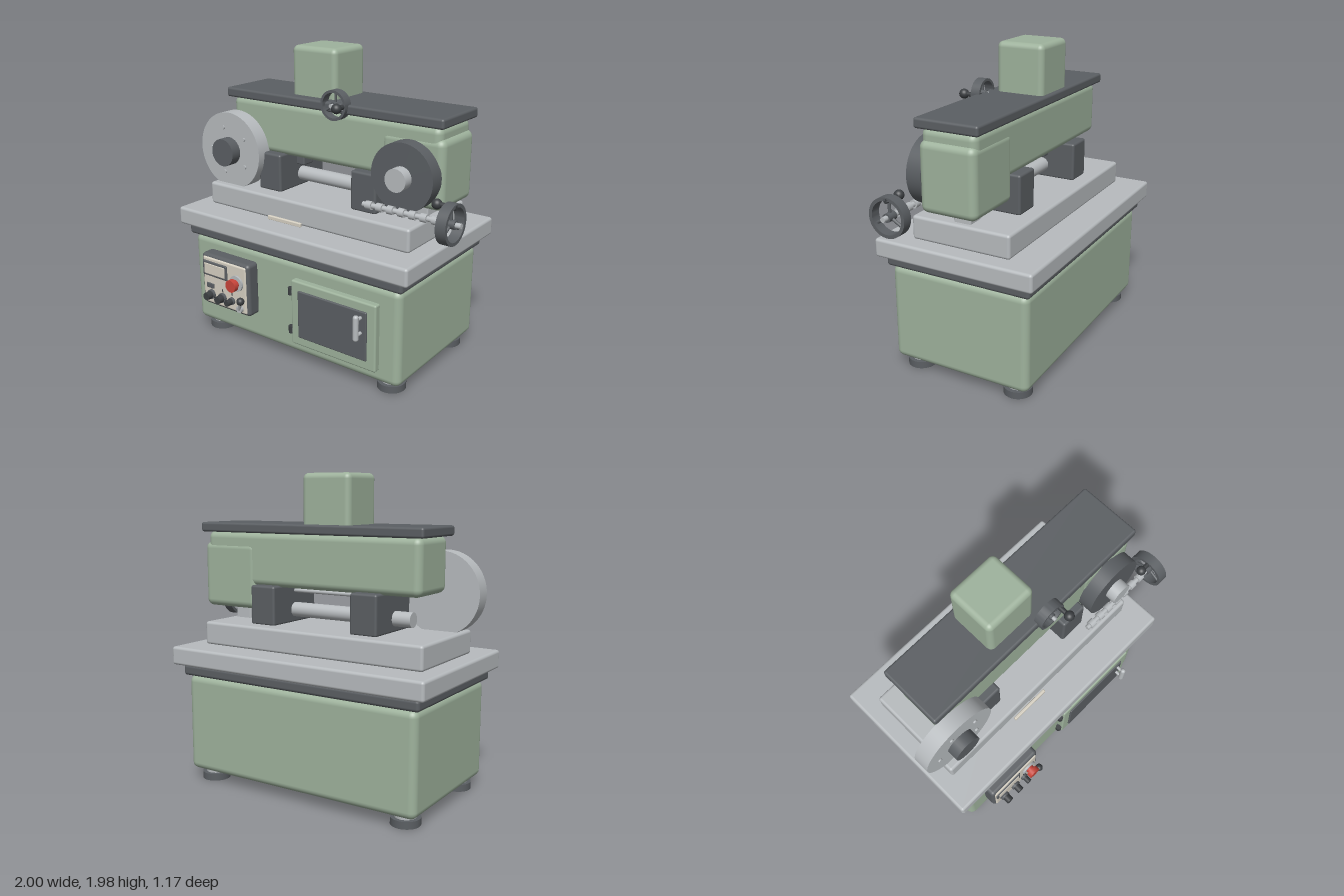
import * as THREE from 'three';
import { RoundedBoxGeometry } from 'three/addons/geometries/RoundedBoxGeometry.js';
import { toCreasedNormals } from 'three/addons/utils/BufferGeometryUtils.js';

const paint = (color) => new THREE.MeshStandardMaterial({ color });
const green = paint(0x9eb29c), dark = paint(0x5b5f63), black = paint(0x3c3f42);
const steel = paint(0xb7bbbe), beige = paint(0xd6d0c2), red = paint(0xc8453a);

export function createModel() {
  const model = new THREE.Group();

  const add = (name, geometry, material, x, y, z, parent = model) => {
    const mesh = new THREE.Mesh(geometry, material);
    mesh.name = name;
    mesh.position.set(x, y, z);
    parent.add(mesh);
    return mesh;
  };
  // Rounded box given by its extents on each axis
  const box = (name, material, [x0, x1], [y0, y1], [z0, z1], r = 0.015) => {
    const w = x1 - x0, h = y1 - y0, d = z1 - z0;
    const geometry = new RoundedBoxGeometry(w, h, d, 4, Math.min(r, w * 0.45, h * 0.45, d * 0.45));
    return add(name, geometry, material, (x0 + x1) / 2, (y0 + y1) / 2, (z0 + z1) / 2);
  };
  // Cylinder between two values along one axis; a and b are the other two coordinates in xyz order
  const rod = (name, material, axis, r, from, to, a, b, parent = model) => {
    const geometry = new THREE.CylinderGeometry(r, r, to - from, r > 0.15 ? 64 : 32);
    if (axis === 'x') geometry.rotateZ(-Math.PI / 2);
    if (axis === 'z') geometry.rotateX(Math.PI / 2);
    const m = (from + to) / 2;
    const p = { x: [m, a, b], y: [a, m, b], z: [a, b, m] }[axis];
    return add(name, geometry, material, ...p, parent);
  };
  const ball = (name, material, r, x, y, z, parent = model) =>
    add(name, new THREE.SphereGeometry(r, 24, 16), material, x, y, z, parent);

  // Spoked wheel about local z with a crank knob in front of it
  const handwheel = (name, radius, width, knobRadius, knobAngle, knobZ) => {
    const wheel = new THREE.Group();
    wheel.name = name;
    const ring = new THREE.Shape().absarc(0, 0, radius, 0, Math.PI * 2);
    ring.holes.push(new THREE.Path().absarc(0, 0, radius * 0.83, 0, Math.PI * 2, true));
    const rim = new THREE.ExtrudeGeometry(ring, { depth: width, bevelEnabled: false, curveSegments: 32 });
    add('wheelRim', toCreasedNormals(rim, 0.6), dark, 0, 0, -width / 2, wheel);
    rod('wheelHub', dark, 'z', radius * 0.22, -width / 2, width / 2, 0, 0, wheel);
    for (let i = 0; i < 3; i++) {
      const a = Math.PI / 2 + (i * Math.PI * 2) / 3, m = radius * 0.5;
      const spoke = new THREE.CylinderGeometry(radius * 0.08, radius * 0.08, radius * 0.8, 12);
      add('wheelSpoke', spoke, dark, Math.cos(a) * m, Math.sin(a) * m, 0, wheel).rotation.z = a - Math.PI / 2;
    }
    const kx = Math.cos(knobAngle) * knobRadius, ky = Math.sin(knobAngle) * knobRadius;
    rod('crankStem', black, 'z', 0.015, -width / 2, knobZ, kx, ky, wheel);
    ball('crankKnob', black, 0.031, kx, ky, knobZ, wheel);
    model.add(wheel);
    return wheel;
  };

  // Levelling feet
  for (const x of [-0.81, 0.605]) for (const z of [0.295, -0.4]) {
    rod('footPad', dark, 'y', 0.09, 0, 0.045, x, z);
    rod('footStem', steel, 'y', 0.065, 0.045, 0.1, x, z);
  }

  // Cabinet, table and bed
  box('cabinet', green, [-0.925, 0.725], [0.07, 0.7], [-0.52, 0.415], 0.045);
  box('cabinetTrim', dark, [-0.95, 0.745], [0.7, 0.77], [-0.54, 0.435], 0.02);
  box('table', steel, [-1, 0.8], [0.77, 0.888], [-0.585, 0.475], 0.018);
  box('bed', steel, [-0.89, 0.687], [0.885, 1.035], [-0.385, 0.275], 0.018);
  box('scaleBar', beige, [-0.36, -0.09], [0.885, 0.913], [0.285, 0.305], 0.006);

  // Bearing blocks and rollers
  for (const x of [-0.447, 0.292])
    box('bearingBlock', dark, [x - 0.092, x + 0.092], [1.03, 1.282], [-0.287, 0.172], 0.015);
  rod('roller', steel, 'x', 0.047, -0.66, 0.48, 1.115, -0.055);
  rod('guideRod', steel, 'x', 0.014, -0.32, 0.25, 1.24, -0.055);
  box('guideRodBracket', dark, [-0.37, -0.295], [1.185, 1.29], [-0.1, 0.0], 0.01);
  box('headPedestal', steel, [0.53, 0.65], [1.02, 1.14], [-0.11, 0.005], 0.01);

  // Head, cover and motor housing
  box('head', green, [-0.79, 0.785], [1.27, 1.615], [-0.235, 0.125], 0.045);
  box('headEnd', green, [0.385, 0.81], [1.118, 1.545], [-0.24, 0.13], 0.045);
  box('headCover', dark, [-0.82, 0.812], [1.61, 1.672], [-0.265, 0.15], 0.015);
  box('motorHousing', green, [-0.32, 0.02], [1.62, 1.98], [-0.238, 0.078], 0.035);

  // Flywheel with bolts
  rod('flywheel', steel, 'z', 0.257, 0.12, 0.225, -0.745, 1.265);
  rod('flywheelHub', dark, 'z', 0.092, 0.2, 0.297, -0.745, 1.265);
  for (let i = 0; i < 5; i++) {
    const a = Math.PI / 5 + (i * Math.PI * 2) / 5;
    rod('flywheelBolt', steel, 'z', 0.013, 0.21, 0.235, -0.745 + 0.16 * Math.cos(a), 1.265 + 0.16 * Math.sin(a));
  }
  // Drive pulley
  rod('pulley', dark, 'z', 0.208, 0.12, 0.22, 0.59, 1.315);
  rod('pulleyHub', steel, 'z', 0.07, 0.2, 0.287, 0.59, 1.315);

  // Feed screw and its handwheel
  rod('feedScrew', steel, 'x', 0.016, 0.345, 1, 1.117, 0.243);
  for (let i = 0; i < 7; i++)
    rod('screwCollar', steel, 'x', 0.026, 0.37 + i * 0.075, 0.41 + i * 0.075, 1.117, 0.243);
  const feedWheel = handwheel('feedHandwheel', 0.122, 0.065, 0.1, Math.PI / 2, 0.092);
  feedWheel.position.set(0.933, 1.117, 0.243);
  feedWheel.rotation.y = -Math.PI / 2;

  // Upper handwheel on the cover edge
  const topWheel = handwheel('heightHandwheel', 0.093, 0.06, 0.072, 0, 0.09);
  topWheel.position.set(0.072, 1.662, 0.147);
  rod('heightHandwheelPin', steel, 'z', 0.012, 0.1, 0.2, 0.072, 1.662);

  // Control panel
  box('controlBox', dark, [-0.78, -0.362], [0.257, 0.622], [0.4, 0.505], 0.025);
  box('controlFace', beige, [-0.762, -0.382], [0.275, 0.604], [0.48, 0.513], 0.012);
  box('displayFrame', dark, [-0.756, -0.54], [0.475, 0.58], [0.5, 0.522], 0.008);
  box('displayScreen', beige, [-0.738, -0.556], [0.49, 0.565], [0.51, 0.526], 0.004);
  box('labelPlate', dark, [-0.73, -0.665], [0.388, 0.422], [0.505, 0.52], 0.004);
  rod('stopButtonCollar', steel, 'z', 0.054, 0.505, 0.525, -0.457, 0.483);
  rod('stopButtonStem', red, 'z', 0.028, 0.52, 0.555, -0.457, 0.483);
  rod('stopButton', red, 'z', 0.042, 0.545, 0.577, -0.457, 0.483);
  for (const [x, r] of [[-0.688, 0.026], [-0.588, 0.026], [-0.504, 0.02]]) {
    rod('knobBase', dark, 'z', r * 1.25, 0.505, 0.53, x, 0.345);
    rod('knob', black, 'z', r, 0.525, 0.572, x, 0.345);
    box('knobMark', black, [x - 0.003, x + 0.003], [0.382, 0.405], [0.508, 0.517], 0.001);
  }

  // Toggle lever on the panel
  rod('leverBase', steel, 'z', 0.024, 0.505, 0.535, -0.43, 0.31);
  const leverPath = new THREE.LineCurve3(new THREE.Vector3(-0.43, 0.31, 0.53), new THREE.Vector3(-0.393, 0.386, 0.555));
  add('lever', new THREE.TubeGeometry(leverPath, 1, 0.011, 12), steel, 0, 0, 0);
  ball('leverKnob', black, 0.026, -0.393, 0.386, 0.555);

  // Cabinet door
  box('door', green, [-0.05, 0.587], [0.157, 0.597], [0.4, 0.457], 0.012);
  box('doorPanel', dark, [0.01, 0.527], [0.218, 0.54], [0.44, 0.468], 0.008);
  add('doorHandle', new THREE.CapsuleGeometry(0.018, 0.134, 8, 20), steel, 0.488, 0.45, 0.517);
  for (const y of [0.4, 0.5]) rod('doorHandlePost', steel, 'z', 0.011, 0.46, 0.515, 0.488, y);
  for (const y of [0.243, 0.51]) {
    rod('hinge', black, 'y', 0.019, y - 0.024, y + 0.024, -0.066, 0.437);
    box('hingeLeaf', dark, [-0.07, -0.03], [y - 0.017, y + 0.017], [0.41, 0.45], 0.004);
  }

  return model;
}
